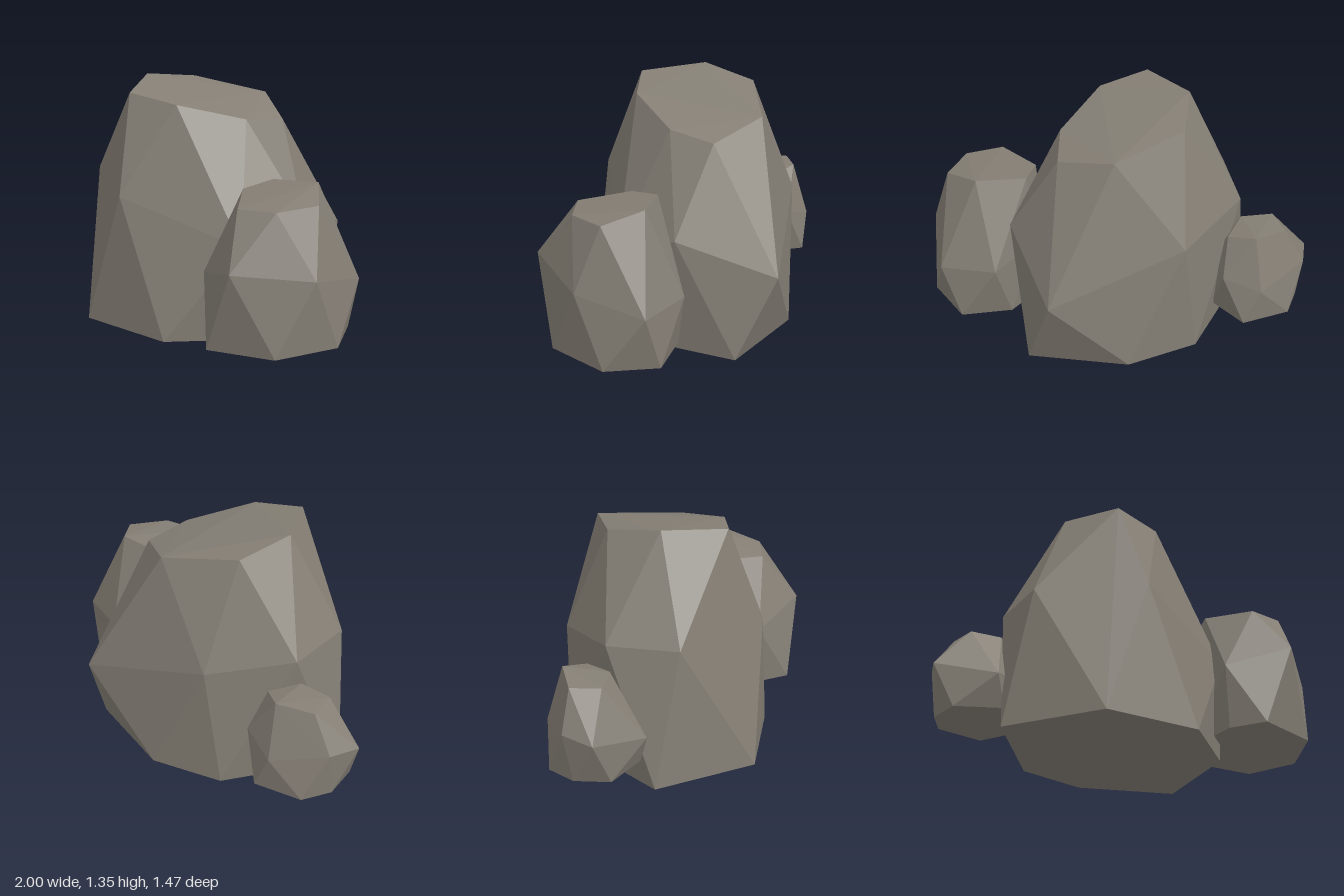
import * as THREE from 'three';
import { ConvexGeometry } from 'three/addons/geometries/ConvexGeometry.js';

const stone = new THREE.MeshStandardMaterial({ color: 0x857f75 });
stone.name = 'warm grey stone';

// A faceted boulder wrapped around a flat base ring, a middle ring and a crown ring.
function boulder(name, baseY, base, middle, crown) {
  const points = [
    ...base.map(([x, z]) => new THREE.Vector3(x, baseY, z)),
    ...[...middle, ...crown].map((p) => new THREE.Vector3(...p)),
  ];
  const mesh = new THREE.Mesh(new ConvexGeometry(points), stone);
  mesh.name = name;
  return mesh;
}

export function createModel() {
  const group = new THREE.Group();
  group.name = 'rockCluster';

  // Tall central rock with a sloping top
  group.add(boulder('mainRock', 0,
    [[-0.77, -0.17], [-0.53, 0.39], [0.02, 0.5], [0.45, 0.24], [0.655, -0.35], [0.17, -0.64], [-0.25, -0.63]],
    [[-0.69, 0.78, -0.03], [-0.28, 0.78, 0.44], [0.4, 0.55, 0.31], [0.62, 0.68, -0.02],
      [0.61, 0.48, -0.57], [-0.16, 0.7, -0.64], [-0.6, 0.78, -0.42]],
    [[-0.41, 1.35, -0.12], [-0.32, 1.32, 0.24], [-0.03, 1.28, 0.24], [0.29, 1.19, 0.03],
      [0.4, 1.155, -0.21], [0.18, 1.235, -0.46], [-0.25, 1.3, -0.4]]));

  // Medium rock in front, on the left side
  group.add(boulder('frontRock', 0.09,
    [[0.37, 0.67], [0.75, 0.63], [0.98, 0.33], [0.92, 0.03], [0.64, -0.04], [0.35, 0.12], [0.29, 0.47]],
    [[0.53, 0.555, 0.73], [0.91, 0.5, 0.48], [1.0, 0.41, 0.1], [0.74, 0.42, -0.08],
      [0.42, 0.5, 0.04], [0.26, 0.45, 0.48]],
    [[0.76, 0.92, 0.12], [0.855, 0.865, 0.34], [0.69, 0.85, 0.51], [0.47, 0.84, 0.51],
      [0.37, 0.86, 0.23], [0.48, 0.89, 0.08]]));

  // Small rock behind, on the right side
  group.add(boulder('backRock', 0.145,
    [[-0.92, -0.4], [-0.9, -0.6], [-0.78, -0.73], [-0.5, -0.72], [-0.42, -0.48], [-0.7, -0.24]],
    [[-1.0, 0.4, -0.49], [-0.9, 0.42, -0.65], [-0.59, 0.35, -0.74], [-0.41, 0.42, -0.62],
      [-0.46, 0.4, -0.35], [-0.77, 0.32, -0.21]],
    [[-0.8, 0.635, -0.44], [-0.79, 0.635, -0.61], [-0.585, 0.66, -0.65], [-0.48, 0.62, -0.52], [-0.62, 0.64, -0.4]]));

  return group;
}
